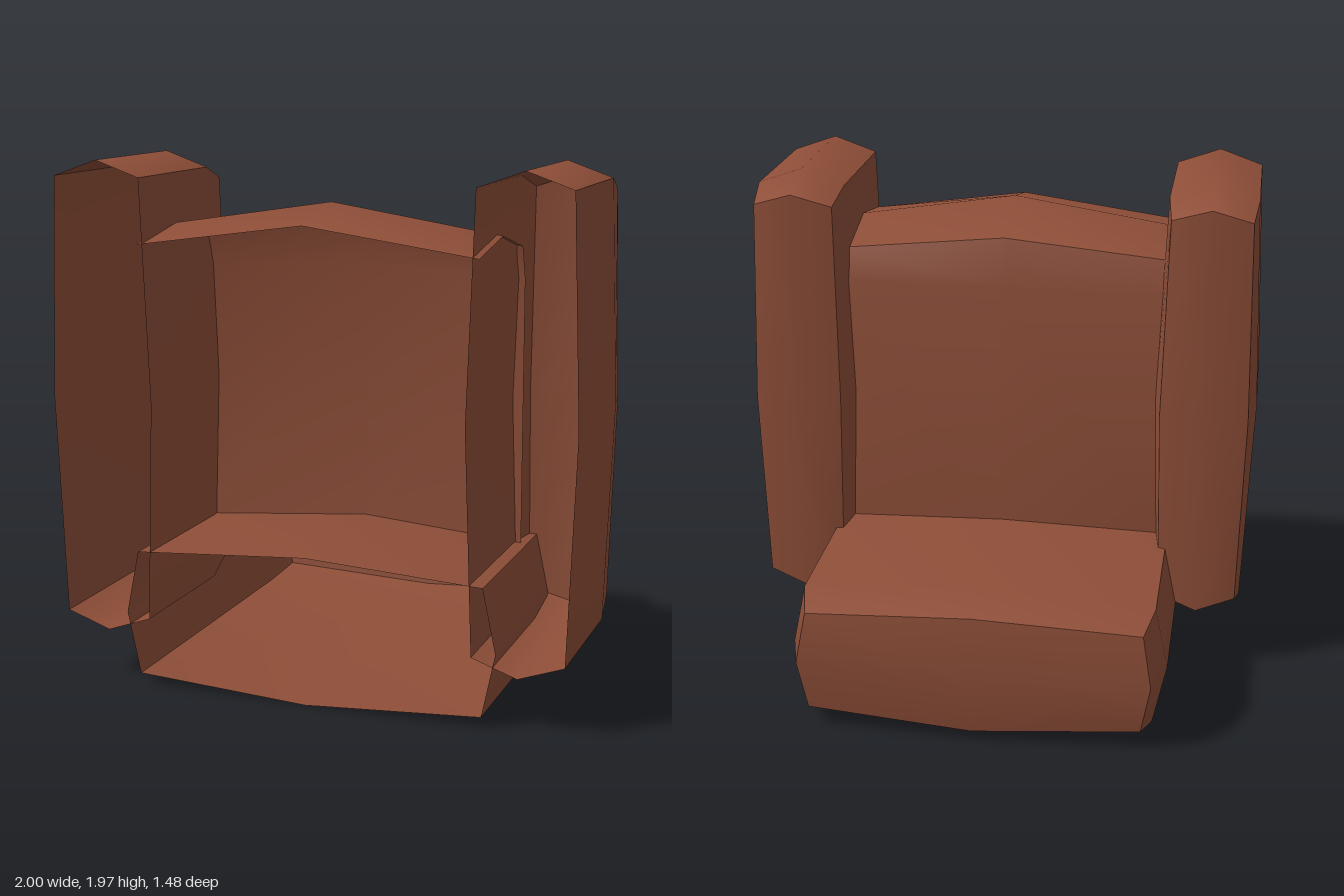
import * as THREE from 'three';
import { toCreasedNormals } from 'three/addons/utils/BufferGeometryUtils.js';

const upholstery = new THREE.MeshStandardMaterial({ color: 0x8e4e38, side: THREE.DoubleSide });
upholstery.name = 'brown upholstery';

// Skins rows of points, each row having the same number of points
function skin(rows, out) {
  for (let i = 0; i < rows.length - 1; i++) {
    for (let j = 0; j < rows[i].length - 1; j++) {
      const a = rows[i][j], b = rows[i][j + 1], c = rows[i + 1][j + 1], d = rows[i + 1][j];
      out.push(...a, ...b, ...d, ...b, ...c, ...d);
    }
  }
  return out;
}

function part(name, positions) {
  const geo = new THREE.BufferGeometry();
  geo.setAttribute('position', new THREE.Float32BufferAttribute(positions, 3));
  const mesh = new THREE.Mesh(toCreasedNormals(geo, 0.85), upholstery);
  mesh.name = name;
  return mesh;
}

// Clockwise eight-point ring: corners at (cx, cy), side middles at bx, top and bottom middles at by
function ring(cx, cy, bx, by, zCorner, zMid) {
  return [
    [-cx, cy, zCorner], [0, by, zMid], [cx, cy, zCorner], [bx, 0, zMid],
    [cx, -cy, zCorner], [0, -by, zMid], [-cx, -cy, zCorner], [-bx, 0, zMid],
  ];
}

// Bulging cushion, open at +z, with a domed cap at -z
function cushion(name, p) {
  const front = ring(p.fx, p.fy, p.cx, p.cy, p.zCorner, p.zMid);
  const rings = [
    ring(p.cx, p.cy, p.bx, p.by, 0.74, 0.74),
    ring(p.cx, p.cy, p.bx, p.by, p.zBend, p.zBend),
    front,
  ].map((r) => [...r, r[0]]);
  const positions = skin(rings, []);
  const f = front;
  skin([[f[0], f[1], f[2]], [f[7], [0, 0, p.zTip], f[3]], [f[6], f[5], f[4]]], positions);
  return part(name, positions);
}

export function createModel() {
  const chair = new THREE.Group();
  chair.name = 'armchair';

  // Seat
  const seat = cushion('seat', {
    cx: 0.67, cy: 0.238, bx: 0.72, by: 0.28, fx: 0.635, fy: 0.2,
    zBend: -0.53, zCorner: -0.68, zMid: -0.705, zTip: -0.74,
  });
  seat.position.y = 0.28;
  chair.add(seat);

  // Arms
  for (const side of [-1, 1]) {
    const arm = cushion(side > 0 ? 'leftArm' : 'rightArm', {
      cx: 0.17, cy: 0.825, bx: 0.2, by: 0.885, fx: 0.153, fy: 0.775,
      zBend: 0.16, zCorner: 0.01, zMid: -0.02, zTip: -0.05,
    });
    arm.position.set(side * 0.8, 1.085, 0);
    chair.add(arm);
  }

  // Backrest sheet, rear top edge to lower front: edge y, edge z, centre y, centre z
  const profile = [
    [1.67, 0.74, 1.76, 0.74],
    [1.72, 0.45, 1.82, 0.45],
    [1.655, 0.18, 1.73, 0.14],
    [1.53, 0.14, 1.55, 0.09],
    [0.48, 0.14, 0.475, 0.09],
  ];
  const rows = profile.map(([ey, ez, cy, cz]) => [[-0.645, ey, ez], [0, cy, cz], [0.645, ey, ez]]);
  chair.add(part('backrest', skin(rows, [])));

  return chair;
}
